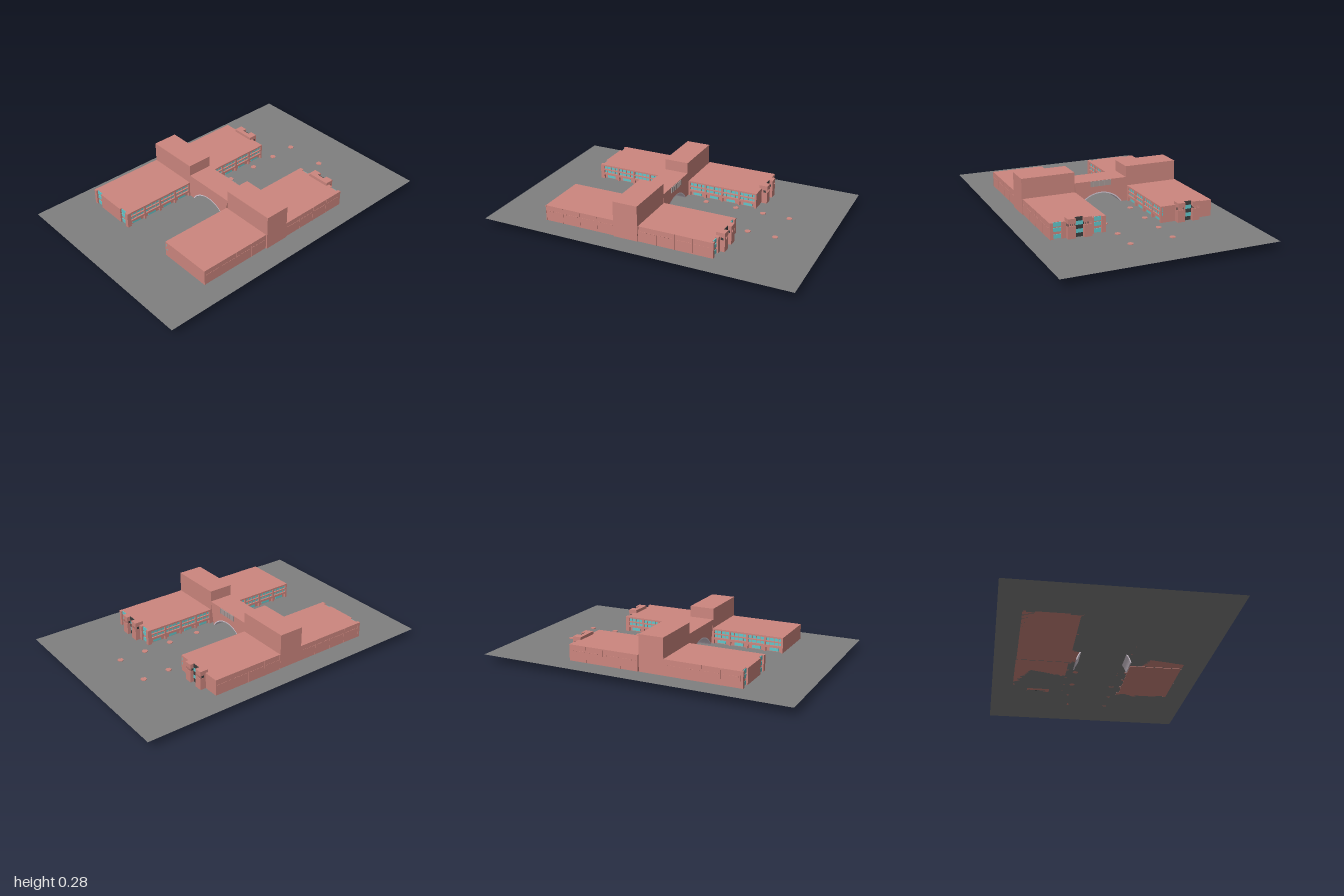
import * as THREE from 'three';

const mat = (color, side = THREE.FrontSide) =>
  new THREE.MeshStandardMaterial({ color, side, flatShading: true });
const BRICK = mat(0xcc867e), GLASS = mat(0x62c6ca), DARK = mat(0x3c3c3c),
  PAVING = mat(0x808080, THREE.DoubleSide), PALE = mat(0xd8ccd8, THREE.DoubleSide), HAZE = mat(0xa89a98);
const GROUND = 0.05;

// Box given by its limits on each axis
function block(parent, name, material, [x0, x1], [y0, y1], [z0, z1]) {
  const m = new THREE.Mesh(new THREE.BoxGeometry(x1 - x0, y1 - y0, Math.abs(z1 - z0)), material);
  m.position.set((x0 + x1) / 2, (y0 + y1) / 2, (z0 + z1) / 2);
  m.name = name;
  parent.add(m);
}

// One wing; zin is the courtyard side, zout the street side
function wing(name, x0, x1, zin, zout, base, top, notchedEnd) {
  const g = new THREE.Group();
  g.name = name;
  const s = Math.sign(zout);
  let a = x0, b = x1;
  // End wall with two recessed window columns
  if (notchedEnd) {
    const inner = notchedEnd > 0 ? x1 - 0.014 : x0 + 0.014;
    const wall = notchedEnd > 0 ? [inner, x1] : [x0, inner];
    const glass = notchedEnd > 0 ? [inner, inner + 0.004] : [inner - 0.004, inner];
    if (notchedEnd > 0) b = inner; else a = inner;
    const n1 = zin + s * 0.025, n2 = zin + s * 0.075, n3 = zout - s * 0.07, n4 = zout - s * 0.02;
    for (const [p, q] of [[zin, n1], [n2, n3], [n4, zout]])
      block(g, 'endWall', BRICK, wall, [base, top], [p, q]);
    for (const [p, q] of [[n1, n2], [n3, n4]])
      for (const rows of [[0.052, 0.076], [0.092, 0.115], [0.123, top - 0.002]])
        block(g, 'endWindow', GLASS, glass, rows, [p, q]);
  }
  // Main body, roof edge and the courtyard front
  const face = zin + s * 0.015;
  block(g, 'body', BRICK, [a, b], [base, top], [face, zout]);
  const front = [zin, face];
  block(g, 'roofEdge', BRICK, [a, b], [top - 0.01, top], front);
  block(g, 'upperSill', BRICK, [a, b], [0.112, 0.119], front);
  block(g, 'lowerSill', BRICK, [a, b], [0.078, 0.092], front);
  const glassZ = [face - s * 0.005, face];
  for (const rows of [[0.092, 0.112], [0.119, top - 0.01]])
    block(g, 'windowBand', GLASS, [a, b], rows, glassZ);
  const bays = 4, w = (b - a) / bays;
  for (let i = 0; i <= bays; i++) {
    const x = Math.min(Math.max(a + i * w, a + 0.006), b - 0.006);
    block(g, 'pier', BRICK, [x - 0.006, x + 0.006], [base, top], front);
    if (i === bays) break;
    block(g, 'groundWindow', GLASS, [a + i * w + 0.03, a + (i + 1) * w - 0.03], [0.055, 0.074], glassZ);
    for (let j = 1; j < 4; j++) {
      const mx = a + (i + j / 4) * w;
      block(g, 'mullion', BRICK, [mx - 0.0015, mx + 0.0015], [0.092, top - 0.01], [face - s * 0.009, face]);
    }
  }
  // Shallow pilasters and sills on the street side
  const relief = [zout, zout + s * 0.002];
  for (let i = 0; i < bays; i++) {
    const x = a + i * w;
    block(g, 'streetPilaster', BRICK, [x, x + 0.004], [base, top], relief);
    for (let j = 0; j < 4; j++)
      block(g, 'streetSill', BRICK, [x + 0.012 + j * 0.026, x + 0.03 + j * 0.026], [0.114, 0.118], relief);
  }
  return g;
}

// Stair tower at the east end of a wing
function stairTower(name, z) {
  const g = new THREE.Group();
  g.name = name;
  const y = [GROUND, 0.17], x = [0.445, 0.5];
  block(g, 'core', BRICK, [0.445, 0.474], y, [z - 0.074, z + 0.074]);
  for (const s of [-1, 1]) {
    block(g, 'cheek', BRICK, [0.474, x[1]], [GROUND, 0.125], [z + s * 0.025, z + s * 0.074]);
    block(g, 'cheekTop', BRICK, [0.474, x[1]], [0.141, 0.17], [z + s * 0.025, z + s * 0.074]);
    block(g, 'slotBack', DARK, [0.474, 0.49], [0.125, 0.141], [z + s * 0.026, z + s * 0.073]);
    for (let i = 0; i < 5; i++) {
      const p = z + s * (0.027 + i * 0.0105);
      block(g, 'slotBar', BRICK, [0.488, x[1]], [0.125, 0.141], [p, p + s * 0.004]);
    }
  }
  // Alternating panels in the central recess
  const h = (y[1] - y[0]) / 5;
  for (let i = 0; i < 5; i++)
    block(g, 'recessPanel', i % 2 ? GLASS : DARK, [0.474, 0.478],
      [y[1] - (i + 1) * h, y[1] - i * h], [z - 0.025, z + 0.025]);
  return g;
}

// Slab in the z-y plane pushed along x
function crossSlab(name, shape, x0, x1, material) {
  const geo = new THREE.ExtrudeGeometry(shape, { depth: x1 - x0, bevelEnabled: false, curveSegments: 32 });
  geo.rotateY(Math.PI / 2);
  const m = new THREE.Mesh(geo, material);
  m.position.x = x0;
  m.name = name;
  return m;
}

export function createModel() {
  const root = new THREE.Group();
  root.name = 'schoolBuilding';

  // Paved ground
  const ground = new THREE.Mesh(new THREE.PlaneGeometry(2, 1.325), PAVING);
  ground.rotation.x = -Math.PI / 2;
  ground.position.y = GROUND;
  ground.name = 'ground';
  root.add(ground);

  // Four wings
  root.add(wing('frontEastWing', -0.008, 0.47, 0.175, 0.518, 0.047, 0.15, 1));
  root.add(wing('frontWestWing', -0.645, -0.17, 0.168, 0.514, GROUND, 0.15, 0));
  root.add(wing('backEastWing', -0.005, 0.463, -0.183, -0.526, GROUND, 0.152, 0));
  root.add(wing('backWestWing', -0.66, -0.17, -0.18, -0.523, GROUND, 0.15, -1));
  root.add(stairTower('frontStairTower', 0.347), stairTower('backStairTower', -0.354));

  // Tall central halls
  const hallX = [-0.17, -0.01];
  block(root, 'frontHall', BRICK, hallX, [GROUND, 0.278], [0.177, 0.523]);
  block(root, 'backHall', BRICK, hallX, [GROUND, 0.278], [-0.523, -0.175]);

  // Bridge with an arched passage
  const r = 0.176, cy = -0.046, half = Math.acos((GROUND - cy) / r);
  const bridge = new THREE.Shape();
  bridge.moveTo(-0.177, GROUND);
  bridge.absarc(0, cy, r, Math.PI / 2 + half, Math.PI / 2 - half, true);
  bridge.lineTo(0.177, GROUND);
  bridge.lineTo(0.177, 0.207);
  bridge.lineTo(-0.177, 0.207);
  bridge.closePath();
  root.add(crossSlab('bridge', bridge, hallX[0], hallX[1], BRICK));

  // Arch lining running down below the ground
  const foot = Math.acos(-cy / r), ri = r - 0.007;
  const lining = new THREE.Shape();
  lining.absarc(0, cy, r, Math.PI / 2 + foot, Math.PI / 2 - foot, true);
  lining.absarc(0, cy, ri, Math.PI / 2 - foot, Math.PI / 2 + foot, false);
  lining.closePath();
  root.add(crossSlab('archLining', lining, hallX[0], hallX[1], PALE));

  // Slatted window above the arch
  block(root, 'bridgeWindow', HAZE, [-0.01, -0.007], [0.17, 0.205], [-0.07, 0.07]);
  for (let i = 0; i < 8; i++) {
    const z = -0.068 + i * 0.0188;
    block(root, 'bridgeSlat', HAZE, [-0.01, -0.004], [0.17, 0.205], [z, z + 0.004]);
  }

  // Two rows of flat planters
  for (const x of [0.14, 0.345, 0.527, 0.7])
    for (const z of [-0.138, 0.126]) {
      const p = new THREE.Mesh(new THREE.CylinderGeometry(0.019, 0.019, 0.004, 6), BRICK);
      p.position.set(x, GROUND + 0.002, z);
      p.name = 'planter';
      root.add(p);
    }
  return root;
}
